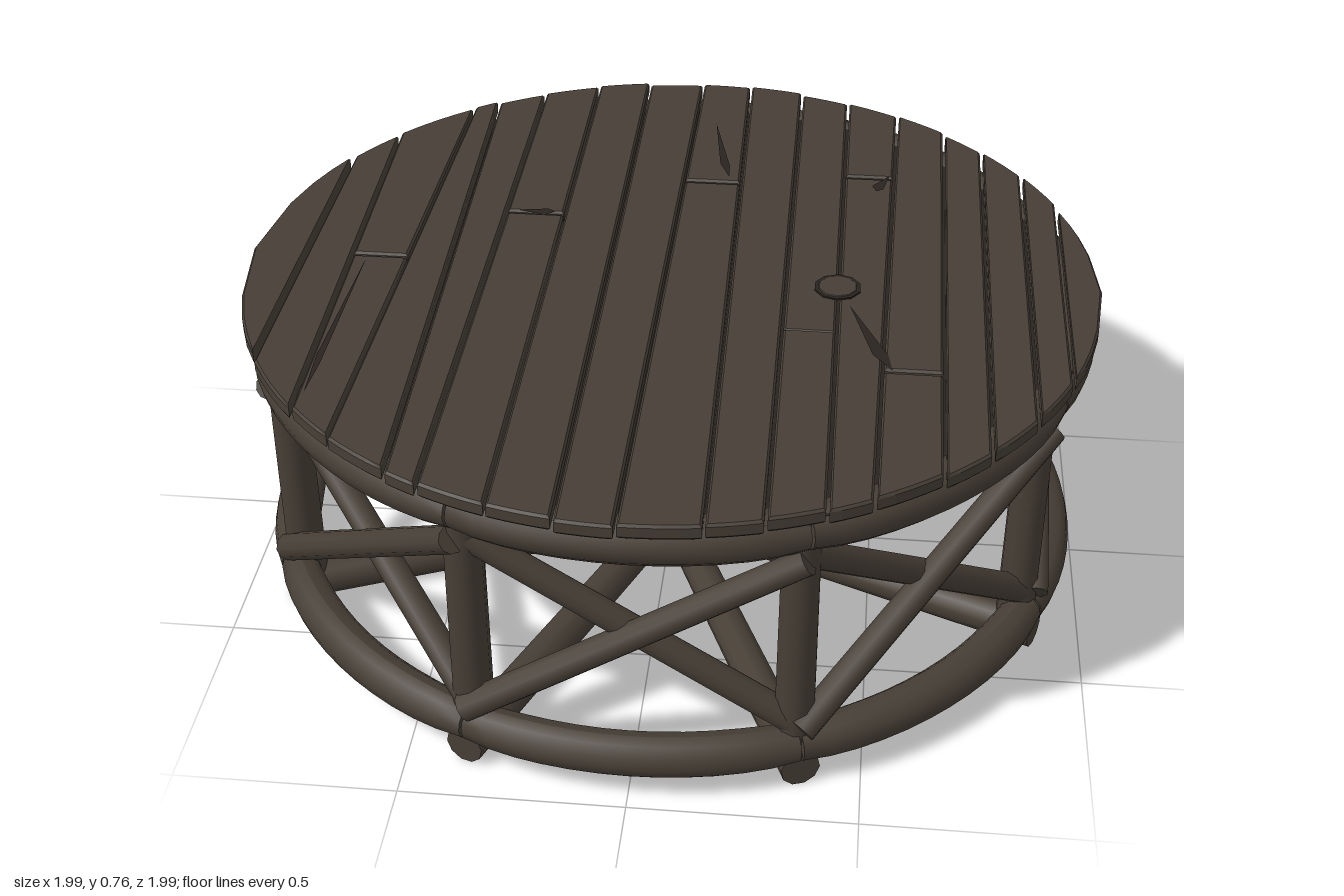
import * as THREE from 'three';

const wood = new THREE.MeshStandardMaterial({ color: 0x473f36 });
wood.name = 'dark weathered wood';
const shade = new THREE.MeshStandardMaterial({ color: 0x29241f, side: THREE.DoubleSide });
shade.name = 'dark gap wood';

const STEP = Math.PI / 4;
const polar = (r, a, y) => new THREE.Vector3(r * Math.cos(a), y, r * Math.sin(a));

function add(parent, name, geometry, material = wood) {
  const mesh = new THREE.Mesh(geometry, material);
  mesh.name = name;
  parent.add(mesh);
  return mesh;
}

// Straight round log between two points
function log(parent, name, a, b, r0, r1 = r0) {
  const mesh = add(parent, name, new THREE.CylinderGeometry(r1, r0, a.distanceTo(b), 10));
  mesh.position.copy(a).lerp(b, 0.5);
  mesh.quaternion.setFromUnitVectors(new THREE.Vector3(0, 1, 0), b.clone().sub(a).normalize());
  return mesh;
}

// Log bent around the rim, slimmer at both ends
function bentLog(radius, thickness) {
  const g = new THREE.CylinderGeometry(thickness, thickness, 2, 12, 12);
  const p = g.attributes.position;
  for (let i = 0; i < p.count; i++) {
    const t = p.getY(i);
    const s = 1 - 0.14 * t ** 6;
    const a = -t * (STEP / 2 - 0.003);
    const r = radius + p.getX(i) * s;
    p.setXYZ(i, r * Math.cos(a), p.getZ(i) * s, r * Math.sin(a));
  }
  g.computeVertexNormals();
  return g;
}

// Deck board running along z, cut by the round rim; each side edge is [x at back, x at front]
function plank(left, right, zMin, zMax, rim) {
  const gap = 0.008;
  const edge = (z, u) => {
    const k = (z + 1) / 2;
    const l = THREE.MathUtils.lerp(left[0], left[1], k) + gap;
    const r = THREE.MathUtils.lerp(right[0], right[1], k) - gap;
    return THREE.MathUtils.lerp(l, r, u);
  };
  const points = [];
  for (const side of [1, -1]) {
    for (let i = 0; i <= 4; i++) {
      const u = side > 0 ? i / 4 : 1 - i / 4;
      let z = 0, x = 0;
      for (let n = 0; n < 4; n++) { // settle on the rim
        x = THREE.MathUtils.clamp(edge(z, u), -rim, rim);
        z = side * Math.sqrt(Math.max(0, rim * rim - x * x));
        z = THREE.MathUtils.clamp(z, zMin + gap, zMax - gap);
      }
      points.push(new THREE.Vector2(edge(z, u), -z));
    }
  }
  const g = new THREE.ExtrudeGeometry(new THREE.Shape(points), {
    depth: 0.024, bevelEnabled: true, bevelThickness: 0.006, bevelSize: 0.005, bevelSegments: 1,
  });
  return g.rotateX(-Math.PI / 2);
}

export function createModel() {
  const model = new THREE.Group();
  model.name = 'roundWoodenPlatform';

  // Frame: eight bays of posts, crossed braces, rim logs and floor spokes
  const frame = new THREE.Group();
  frame.name = 'frame';
  model.add(frame);
  const lowerRim = bentLog(0.935, 0.05);
  const upperRim = bentLog(0.935, 0.053);
  for (let i = 0; i < 8; i++) {
    const a = (i + 0.5) * STEP, b = a + STEP;
    log(frame, 'post', polar(0.915, a, 0.08), polar(0.915, a, 0.7), 0.045, 0.042);
    log(frame, 'brace', polar(0.955, a, 0.61), polar(0.955, b, 0.15), 0.031, 0.034);
    log(frame, 'brace', polar(0.925, a, 0.15), polar(0.925, b, 0.61), 0.034, 0.031);
    log(frame, 'floorSpoke', polar(0, a, 0.045), polar(0.965, a, 0.045), 0.04, 0.045);
    for (const [name, g, y] of [['lowerRimLog', lowerRim, 0.097], ['upperRimLog', upperRim, 0.68]]) {
      const m = add(frame, name, g);
      m.position.y = y;
      m.rotation.y = i * STEP;
    }
  }

  // Deck: slightly skewed boards, some broken into two lengths
  const deck = new THREE.Group();
  deck.name = 'deck';
  model.add(deck);
  const seams = [[-1, -1], [-0.86, -0.88], [-0.78, -0.74], [-0.6, -0.65], [-0.55, -0.5], [-0.43, -0.43],
    [-0.29, -0.28], [-0.155, -0.14], [-0.01, -0.015], [0.12, 0.16], [0.26, 0.28], [0.385, 0.4],
    [0.52, 0.49], [0.64, 0.63], [0.735, 0.73], [0.83, 0.83], [0.91, 0.91], [1, 1]];
  const breaks = { 2: 0, 5: -0.24, 8: -0.44, 10: 0.24, 11: -0.5, 12: 0.39 };
  for (let i = 0; i < seams.length - 1; i++) {
    const cuts = i in breaks ? [-1, breaks[i], 1] : [-1, 1];
    for (let k = 0; k < cuts.length - 1; k++) {
      const rim = 0.988 - 0.006 * ((i * 3 + k) % 3);
      const m = add(deck, 'deckBoard', plank(seams[i], seams[i + 1], cuts[k], cuts[k + 1], rim));
      m.position.y = 0.73 - 0.003 * ((i * 2 + k) % 3);
    }
  }

  // Dark underside closing the seams
  const under = add(deck, 'deckUnderside', new THREE.CylinderGeometry(0.965, 0.955, 0.008, 40), shade);
  under.position.y = 0.719;

  // Knot and splintered cracks in the boards
  const knotRing = add(deck, 'knotGap', new THREE.CylinderGeometry(0.055, 0.055, 0.004, 10), shade);
  knotRing.position.set(0.39, 0.759, 0.05);
  const knot = add(deck, 'knot', new THREE.CylinderGeometry(0.044, 0.05, 0.005, 10));
  knot.position.set(0.39, 0.76, 0.05);
  const cracks = [[0.045, -0.75, 0.1, -0.46, 0.014], [-0.4, -0.24, -0.31, -0.24, 0.02],
    [0.42, 0.13, 0.52, 0.39, 0.02], [0.5, -0.5, 0.47, -0.42, 0.02], [-0.72, 0.02, -0.73, 0.6, 0.01]];
  for (const [x0, z0, x1, z1, w] of cracks) {
    const len = Math.hypot(x1 - x0, z1 - z0);
    const s = new THREE.Shape([new THREE.Vector2(0, 0), new THREE.Vector2(len * 0.75, -w),
      new THREE.Vector2(len, 0), new THREE.Vector2(len * 0.8, w * 0.6)]);
    const m = add(deck, 'crack', new THREE.ShapeGeometry(s).rotateX(-Math.PI / 2), shade);
    m.position.set(x0, 0.7605, z0);
    m.rotation.y = -Math.atan2(z1 - z0, x1 - x0);
  }
  return model;
}
